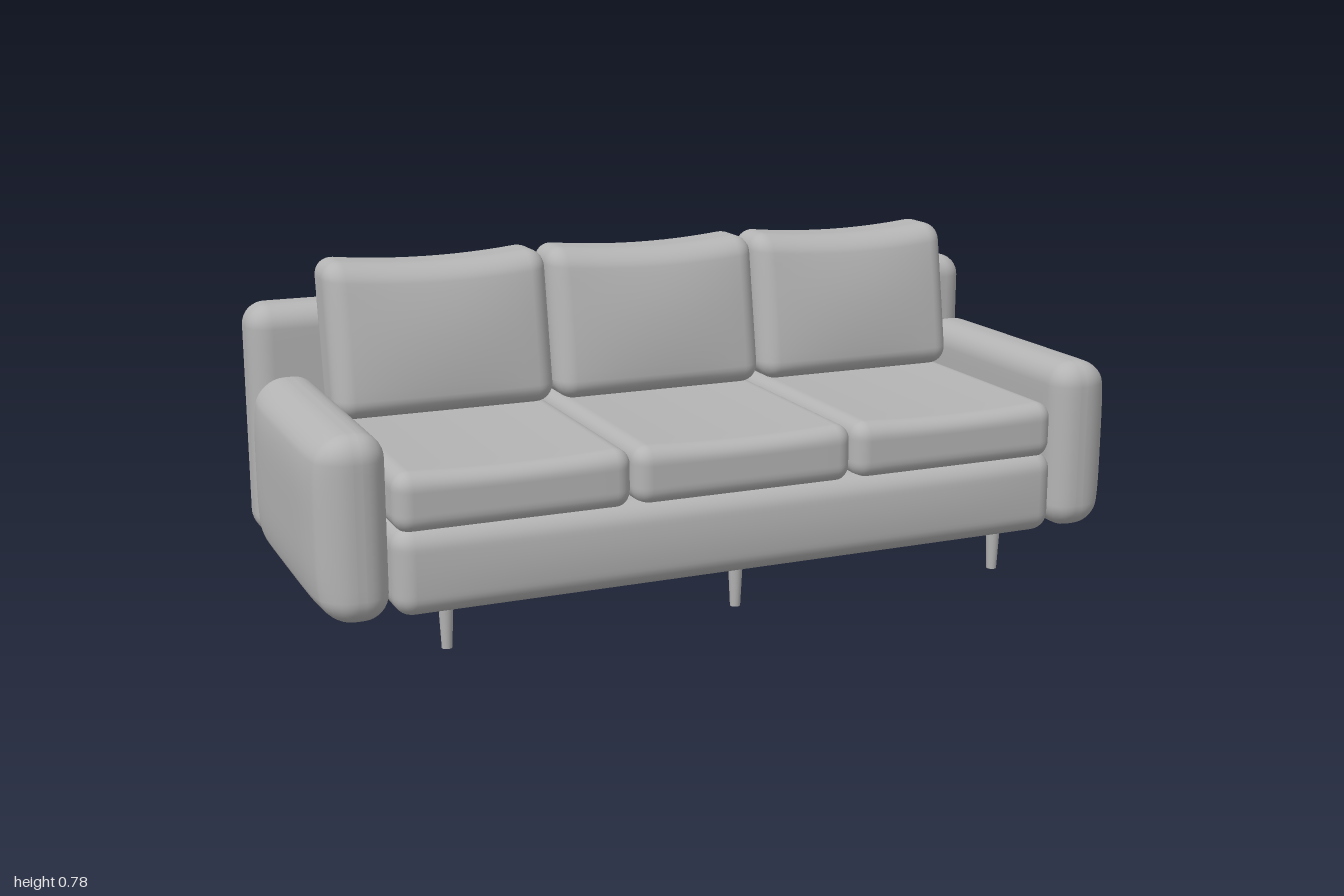
import * as THREE from 'three';
import { mergeVertices } from 'three/addons/utils/BufferGeometryUtils.js';

// Rounded upholstered block; deform(p, u) shifts each point, u being its position as -1..1 per axis
function softBlock(w, h, d, r, deform) {
  let geo = new THREE.BoxGeometry(2, 2, 2, 20, 20, 20);
  geo.deleteAttribute('normal');
  geo.deleteAttribute('uv');
  geo = mergeVertices(geo);
  const pos = geo.attributes.position;
  const inner = [w / 2 - r, h / 2 - r, d / 2 - r];
  const edge = 0.6;
  const p = new THREE.Vector3(), u = new THREE.Vector3(), core = new THREE.Vector3();
  for (let i = 0; i < pos.count; i++) {
    p.fromBufferAttribute(pos, i);
    for (let a = 0; a < 3; a++) {
      const t = p.getComponent(a), s = Math.sign(t), m = Math.abs(t);
      const over = Math.max(0, (m - edge) / (1 - edge));
      const c = s * inner[a] * Math.min(1, m / edge);
      core.setComponent(a, c);
      p.setComponent(a, s * Math.tan(over * Math.PI / 4));
    }
    p.normalize().multiplyScalar(r).add(core);
    u.set(p.x / (w / 2), p.y / (h / 2), p.z / (d / 2));
    if (deform) deform(p, u);
    pos.setXYZ(i, p.x, p.y, p.z);
  }
  geo.computeVertexNormals();
  return geo;
}

const dome = (a, b) => Math.max(0, 1 - a * a) * Math.max(0, 1 - b * b);

export function createModel() {
  const sofa = new THREE.Group();
  sofa.name = 'sofa';
  const grey = new THREE.MeshStandardMaterial({ color: 0xb4b4b4 });
  grey.name = 'soft grey';

  function add(name, geo, x, y, z) {
    const mesh = new THREE.Mesh(geo, grey);
    mesh.name = name;
    mesh.position.set(x, y, z);
    sofa.add(mesh);
  }

  // Tall panel behind the seat
  add('backrest', softBlock(1.95, 0.572, 0.145, 0.055), 0, 0.384, -0.348);

  // Base with a gently padded front
  add('base', softBlock(1.655, 0.2, 0.682, 0.045, (p, u) => {
    if (u.z > 0) p.z += 0.012 * dome(u.x ** 3, u.y) * u.z;
  }), 0, 0.198, 0.071);

  // Armrests, padded outwards
  for (const side of [-1, 1]) {
    const arm = softBlock(0.138, 0.416, 0.684, 0.058, (p, u) => {
      const out = Math.max(0, u.x * side);
      p.x += side * out * 0.03 * dome(u.y ** 2, u.z ** 3);
    });
    add(side > 0 ? 'leftArm' : 'rightArm', arm, side * 0.901, 0.304, 0.072);
  }

  for (const i of [-1, 0, 1]) {
    // Seat cushions, slightly dished on top
    const seat = softBlock(0.545, 0.14, 0.675, 0.04, (p, u) => {
      if (u.y > 0) p.y -= 0.01 * u.y * (1 - u.x * u.x);
    });
    add('seatCushion', seat, i * 0.55, 0.353, 0.071);

    // Leaning back cushions with a sagging top edge and full front
    const back = softBlock(0.545, 0.37, 0.158, 0.047, (p, u) => {
      if (u.z > 0) p.z += 0.022 * u.z * dome(u.x, u.y);
      if (u.y > 0) p.y -= 0.018 * u.y * (1 - u.x * u.x);
      p.z -= 0.17 * p.y;
    });
    add('backCushion', back, i * 0.55, 0.605, -0.187);

    // Tapered legs, front and back
    for (const z of [0.342, -0.347]) {
      add(z > 0 ? 'frontLeg' : 'backLeg',
        new THREE.CylinderGeometry(0.018, 0.012, 0.12, 12), i * 0.7, 0.06, z);
    }
  }
  return sofa;
}
